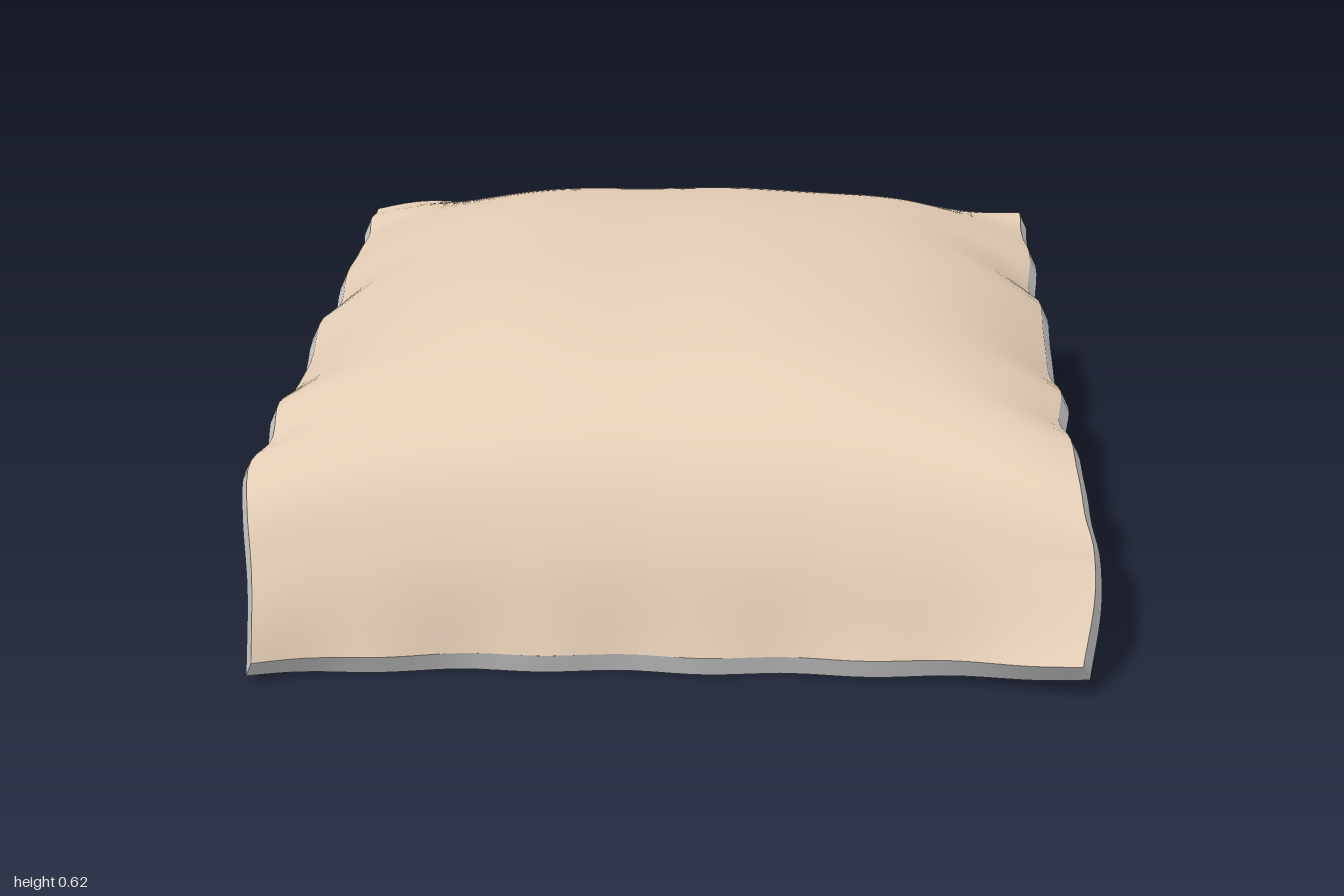
import * as THREE from 'three';

const tan = new THREE.MeshStandardMaterial({ color: 0xe3cdb5, side: THREE.DoubleSide });
const grey = new THREE.MeshStandardMaterial({ color: 0xcccccc, side: THREE.DoubleSide });

// Lengthwise rails, back to front, as [z, y] pairs
const rail = (pts) => new THREE.CatmullRomCurve3(pts.map(([z, y]) => new THREE.Vector3(0, y, z)));
const topCentre = rail([[-0.975, 0.488], [-0.8, 0.56], [-0.5, 0.612], [-0.1, 0.62], [0.3, 0.592],
  [0.58, 0.525], [0.75, 0.415], [0.84, 0.26], [0.89, 0.05]]);
const topEdge = rail([[-0.975, 0.462], [-0.8, 0.448], [-0.5, 0.432], [-0.1, 0.425], [0.3, 0.412],
  [0.6, 0.415], [0.82, 0.345], [0.91, 0.21], [0.985, 0.07]]);
const underCentre = rail([[-0.99, 0.446], [-0.79, 0.495], [-0.5, 0.54], [-0.1, 0.545], [0.28, 0.515],
  [0.55, 0.455], [0.71, 0.375], [0.8, 0.22], [0.875, 0.01]]);
const underEdge = rail([[-0.99, 0.425], [-0.8, 0.41], [-0.5, 0.395], [-0.1, 0.388], [0.3, 0.375],
  [0.58, 0.378], [0.78, 0.315], [0.87, 0.17], [0.95, 0.03]]);

const hump = (v, at, width) => Math.exp(-(((v - at) / width) ** 2));

// Point on a cloth layer: u runs -1..1 across, v runs 0..1 from back to front
function layer(centre, edge, halfWidth, u, v) {
  const p = centre.getPoint(v).lerp(edge.getPoint(v), Math.abs(u) ** 3.3);
  const k = u ** 6;
  const flare = u > 0 ? 0.04 * hump(v, 0.86, 0.14) : 0.022 * hump(v, 0.74, 0.1);
  const calm = Math.sqrt(Math.sin(Math.PI * v)) * (1 - THREE.MathUtils.smoothstep(v, 0.72, 0.85));
  const ripple = calm * (0.008 * Math.sin(v * 38 + u) + 0.004 * Math.sin(v * 59 + u * 2));
  p.x = u * (halfWidth + flare) - 0.01 + Math.sign(u) * k * ripple * 0.7;
  // Wavy hems and soft folds across the middle
  p.y += k * ripple;
  p.y += 0.004 * Math.sin(Math.PI * v) * (1 - k) * Math.sin(u * 7 + v * 9) * Math.sin(v * 14 - u * 4);
  // Dents along the left side
  if (u > 0) p.y -= 0.01 * k * Math.sin(v * 30) * hump(v, 0.25, 0.18);
  // Uneven front and back ends
  p.y += v ** 12 * 0.014 * u * Math.abs(u) + (1 - v) ** 12 * 0.008 * Math.sin(u * 13);
  p.z += v ** 12 * (0.014 * u + 0.007 * Math.sin(u * 16)) - (1 - v) ** 12 * 0.005 * (u + Math.sin(u * 11));
  return p;
}
const topAt = (u, v) => layer(topCentre, topEdge, 0.783, u, v);
const underAt = (u, v) => layer(underCentre, underEdge, 0.8, u, v);

// Grid mesh over a, b in 0..1; normal points along d/db x d/da
function grid(name, material, fn, na, nb, flip = false) {
  const pos = [], index = [];
  for (let j = 0; j <= nb; j++) {
    for (let i = 0; i <= na; i++) pos.push(...fn(i / na, j / nb).toArray());
  }
  for (let j = 0; j < nb; j++) {
    for (let i = 0; i < na; i++) {
      const a = j * (na + 1) + i, b = a + 1, c = a + na + 1, d = c + 1;
      index.push(...(flip ? [a, b, c, b, d, c] : [a, c, b, b, c, d]));
    }
  }
  const geo = new THREE.BufferGeometry();
  geo.setAttribute('position', new THREE.Float32BufferAttribute(pos, 3));
  geo.setIndex(index);
  geo.computeVertexNormals();
  const mesh = new THREE.Mesh(geo, material);
  mesh.name = name;
  return mesh;
}

// Walk round the outline: front, left, back, right
function outline(a) {
  const side = Math.min(3, Math.floor(a * 4)), t = a * 4 - side;
  return [[2 * t - 1, 1], [1, 1 - t], [1 - 2 * t, 0], [-1, t]][side];
}

// Narrow hem joining the two layers
function hemAt(a, b) {
  const [u, v] = outline(a);
  return topAt(u, v).lerp(underAt(u, v), b);
}

export function createModel() {
  const model = new THREE.Group();
  model.name = 'blanket';
  model.add(
    grid('blanketTop', tan, (a, b) => topAt(2 * a - 1, b), 48, 64),
    grid('blanketUnderside', grey, (a, b) => underAt(2 * a - 1, b), 48, 64, true),
    grid('blanketHem', grey, hemAt, 256, 2),
  );
  // Rest on the ground, centred
  const box = new THREE.Box3().setFromObject(model);
  const mid = box.getCenter(new THREE.Vector3());
  for (const mesh of model.children) mesh.geometry.translate(-mid.x, -box.min.y, -mid.z);
  return model;
}
